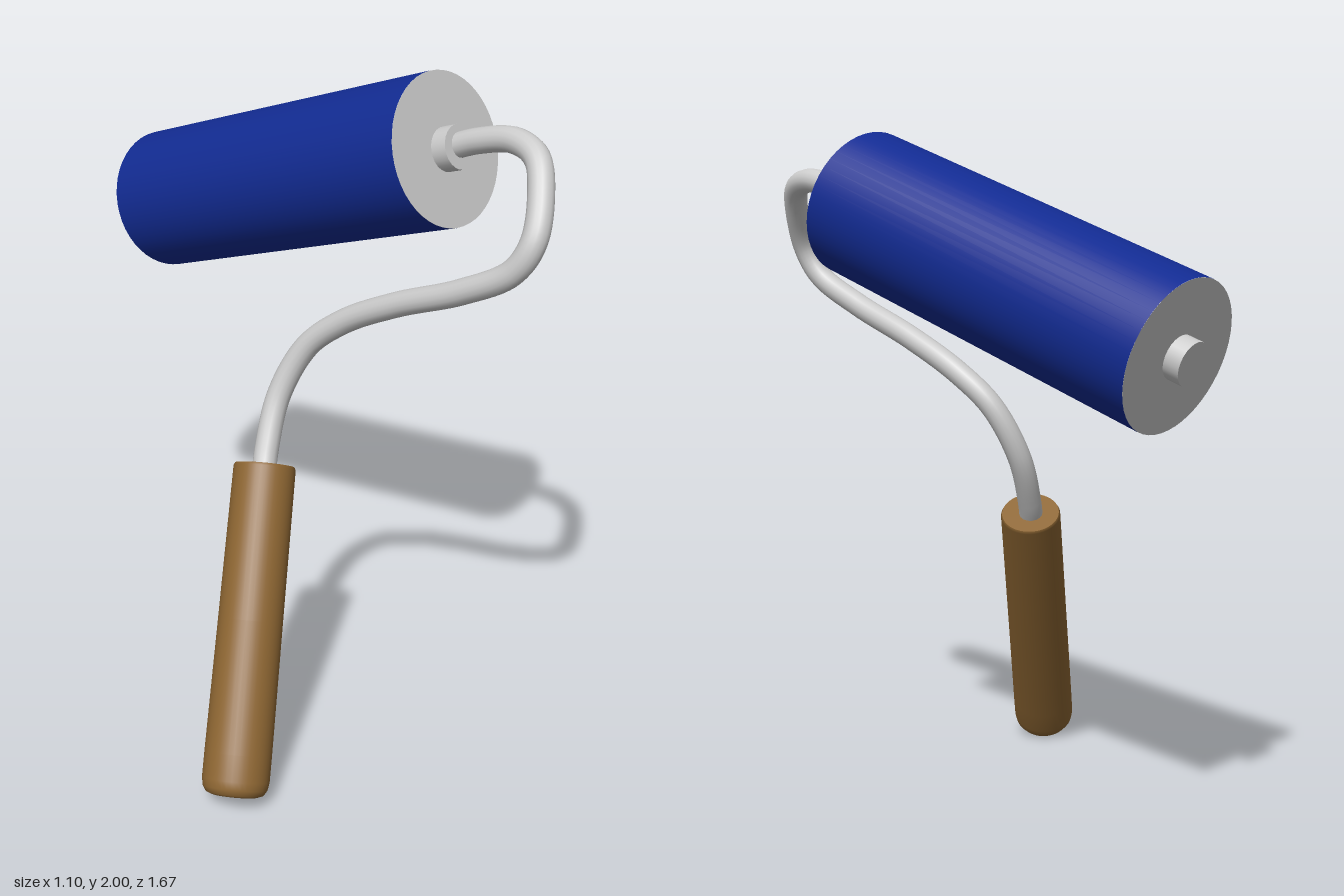
import * as THREE from 'three';

const v = (x, y, z) => new THREE.Vector3(x, y, z);
const material = (color) => new THREE.MeshStandardMaterial({ color });

// Group whose local +y runs from point a towards point b
function alongAxis(name, a, b) {
  const group = new THREE.Group();
  group.name = name;
  group.position.copy(a);
  group.quaternion.setFromUnitVectors(v(0, 1, 0), b.clone().sub(a).normalize());
  return group;
}

function part(parent, name, geometry, mat, y = 0) {
  const mesh = new THREE.Mesh(geometry, mat);
  mesh.name = name;
  mesh.position.y = y;
  parent.add(mesh);
  return mesh;
}

export function createModel() {
  const model = new THREE.Group();
  model.name = 'paintRoller';
  const metal = material(0xcccccc);
  const blue = material(0x122b92);
  const wood = material(0x8c6532);

  // Roller: open sleeve closed by metal end discs, with a hub at each end
  const back = v(0.185, 1.395, -0.755);
  const front = v(0.337, 1.795, 0.375);
  const length = back.distanceTo(front);
  const roller = alongAxis('roller', back, front);
  part(roller, 'rollerSleeve', new THREE.CylinderGeometry(0.218, 0.218, length, 48, 1, true), blue, length / 2);
  for (const [name, y, inward] of [['back', 0, 1], ['front', length, -1]]) {
    part(roller, name + 'EndCap', new THREE.CylinderGeometry(0.2175, 0.2175, 0.02, 48), metal, y + inward * 0.01);
    part(roller, name + 'Hub', new THREE.CylinderGeometry(0.063, 0.063, 0.07, 24), metal, y - inward * 0.015);
  }
  model.add(roller);

  // Handle: gently tapered grip with rounded butt
  const butt = v(-0.472, 0.045, 0.463);
  const neck = v(-0.095, 0.853, 0.118);
  const grip = butt.distanceTo(neck);
  const handle = alongAxis('handle', butt, neck);
  const curve = (points) => points.map(([r, y]) => new THREE.Vector2(r, y));
  part(handle, 'grip', new THREE.LatheGeometry(curve([
    [0.068, 0.0], [0.084, 0.006], [0.094, 0.022], [0.098, 0.045], [0.098, 0.12],
    [0.095, 0.5], [0.092, grip - 0.008], [0.088, grip],
  ]), 40), wood);
  part(handle, 'buttFace', new THREE.CylinderGeometry(0.068, 0.068, 0.02, 40), wood, 0.01);
  part(handle, 'neckFace', new THREE.CylinderGeometry(0.088, 0.088, 0.02, 40), wood, grip - 0.01);
  model.add(handle);

  // Bent wire frame from the handle to the roller hub
  const path = new THREE.CatmullRomCurve3([
    v(-0.12, 0.8, 0.14), v(-0.075, 0.89, 0.1), v(-0.005, 1.04, 0.07),
    v(0.06, 1.19, 0.115), v(0.105, 1.29, 0.22), v(0.145, 1.39, 0.4),
    v(0.185, 1.485, 0.615), v(0.225, 1.575, 0.76), v(0.255, 1.66, 0.797),
    v(0.31, 1.77, 0.76), v(0.35, 1.845, 0.70), v(0.365, 1.867, 0.605),
    v(0.355, 1.84, 0.48), v(0.337, 1.795, 0.37),
  ]);
  part(model, 'wireFrame', new THREE.TubeGeometry(path, 120, 0.036, 16), metal);

  return model;
}
